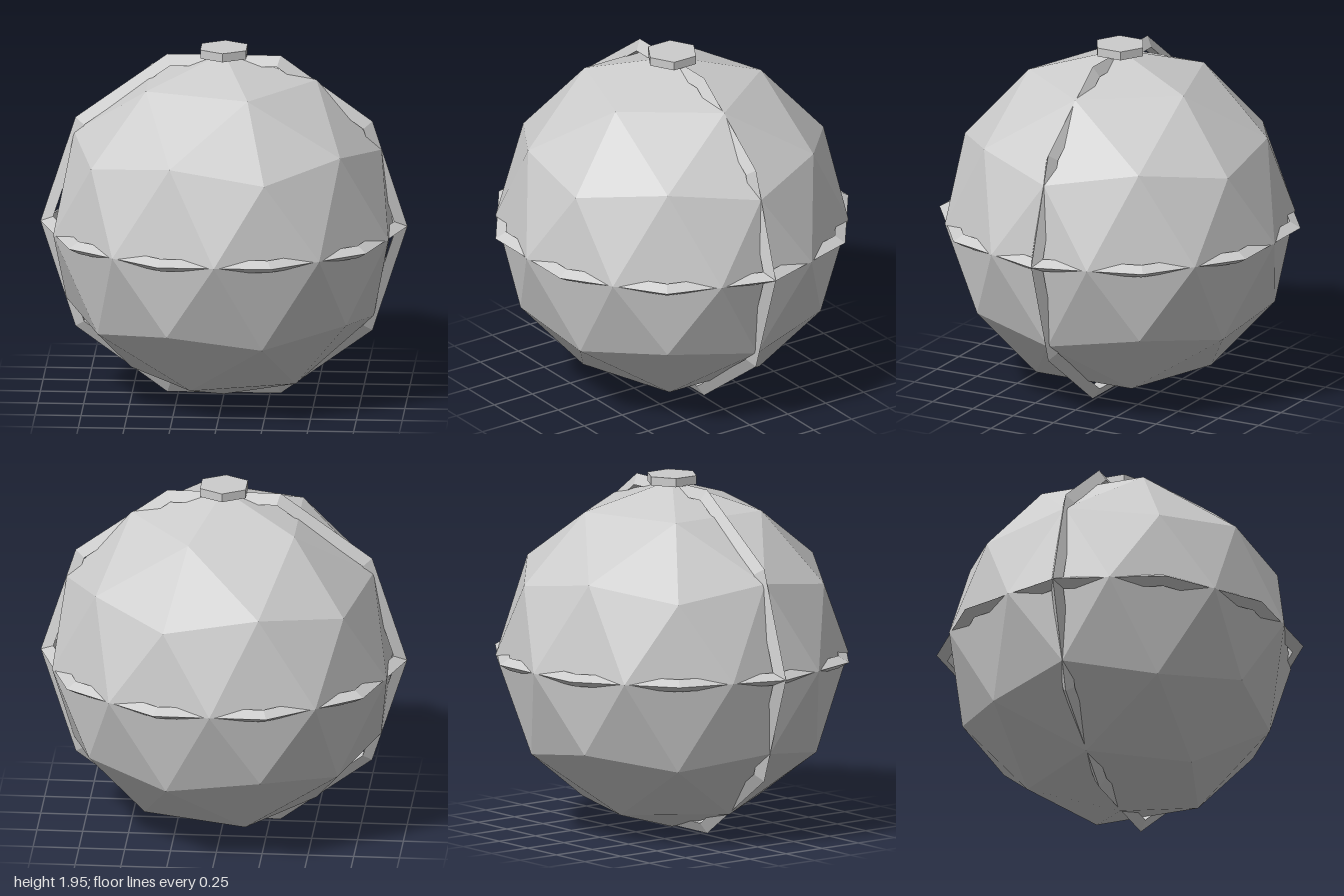
import * as THREE from 'three';

const RADIUS = 0.96;

// Separate corners per face give crisp facets.
function faceted(geometry) {
  const flat = geometry.index ? geometry.toNonIndexed() : geometry;
  flat.computeVertexNormals();
  return flat;
}

export function createModel() {
  const model = new THREE.Group();
  model.name = 'bandedBall';

  const grey = new THREE.MeshStandardMaterial({ color: 0xcccccc, flatShading: true });
  grey.name = 'plain grey';

  const add = (name, geometry, y) => {
    const mesh = new THREE.Mesh(faceted(geometry), grey);
    mesh.name = name;
    mesh.position.y = y;
    model.add(mesh);
  };

  // Faceted ball, tipped so one corner of the icosahedron points straight up
  const tilt = Math.atan(2 / (1 + Math.sqrt(5)));
  add('ball', new THREE.IcosahedronGeometry(RADIUS, 1).rotateZ(-tilt), RADIUS);

  // Two ten-sided bands with a triangular section, mostly sunk into the ball
  const band = () => new THREE.TorusGeometry(RADIUS, 0.04, 3, 10);
  add('uprightBand', band(), RADIUS);
  add('equatorBand', band().rotateX(Math.PI / 2), RADIUS);

  // Hexagonal cap on the top
  add('topCap', new THREE.CylinderGeometry(0.144, 0.144, 0.048, 6), 1.93);

  return model;
}
